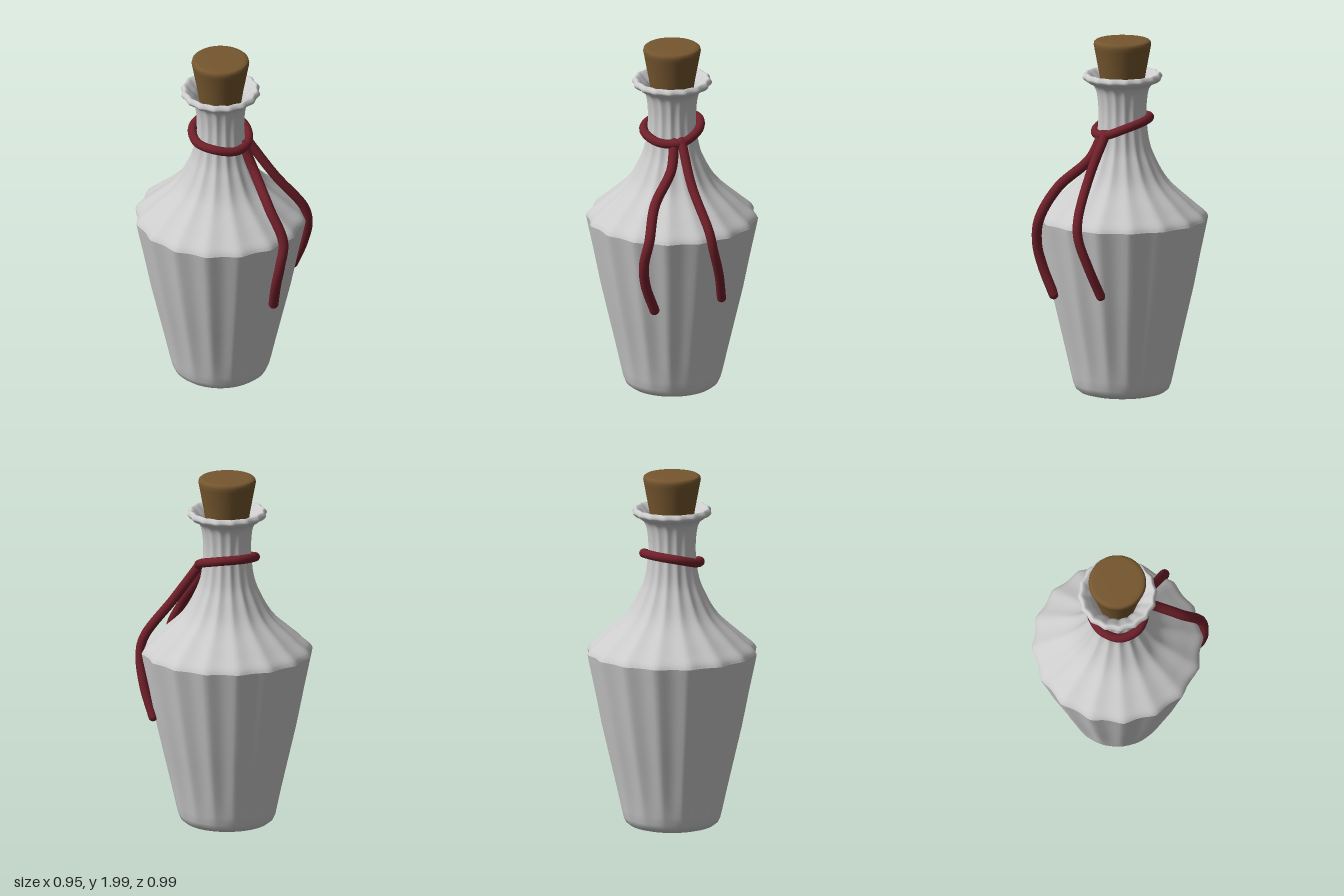
import * as THREE from 'three';
import { mergeVertices } from 'three/addons/utils/BufferGeometryUtils.js';

const AXIS_Z = -0.02; // the bottle's own axis

// Smooth lathe whose 16 ridges are cut by a radius rule; depth depends on height
function flutedLathe(points, depthAt) {
  let geo = new THREE.LatheGeometry(points.map(([r, y]) => new THREE.Vector2(r, y)), 128);
  const p = geo.attributes.position;
  for (let i = 0; i < p.count; i++) {
    const x = p.getX(i), z = p.getZ(i);
    const s = Math.abs(Math.sin(8 * Math.atan2(x, z)));
    const k = 1 - depthAt(p.getY(i)) * Math.pow(s, 1.3);
    p.setX(i, x * k);
    p.setZ(i, z * k);
  }
  geo.deleteAttribute('uv');
  geo.deleteAttribute('normal');
  geo = mergeVertices(geo, 1e-5);
  geo.computeVertexNormals();
  return geo;
}

// Samples a smooth curve through a few [radius, height] points
function smoothProfile(pts, n) {
  const curve = new THREE.SplineCurve(pts.map(([r, y]) => new THREE.Vector2(r, y)));
  return curve.getPoints(n).map(v => [v.x, v.y]);
}

// Round cord with domed ends
function cord(name, pts, radius, material, closed = false) {
  const group = new THREE.Group();
  group.name = name;
  const curve = new THREE.CatmullRomCurve3(pts.map(a => new THREE.Vector3(...a)), closed);
  const tube = new THREE.Mesh(new THREE.TubeGeometry(curve, 64, radius, 14, closed), material);
  tube.name = name + 'Tube';
  group.add(tube);
  if (!closed) {
    for (const t of [0, 1]) {
      const end = new THREE.Mesh(new THREE.SphereGeometry(radius, 14, 10), material);
      end.position.copy(curve.getPoint(t));
      end.name = name + 'End';
      group.add(end);
    }
  }
  return group;
}

export function createModel() {
  const model = new THREE.Group();
  model.name = 'corkedBottle';
  const glass = new THREE.MeshStandardMaterial({ color: 0xcccccc, side: THREE.DoubleSide });
  const corkMat = new THREE.MeshStandardMaterial({ color: 0x76572f });
  const cordMat = new THREE.MeshStandardMaterial({ color: 0x70202a });

  const add = (name, geo, mat) => {
    const mesh = new THREE.Mesh(geo, mat);
    mesh.name = name;
    mesh.position.z = AXIS_Z;
    model.add(mesh);
  };

  // Tapered body with a rounded foot; ridges fade out towards the base
  const body = [[0, 0.01], [0.12, 0.01], [0.2, 0.015], [0.235, 0.025], [0.257, 0.042], [0.27, 0.07],
    [0.283, 0.12], [0.31, 0.24], [0.352, 0.42], [0.394, 0.6], [0.434, 0.8], [0.466, 0.95], [0.476, 1.0]];
  add('body', flutedLathe(body, y => 0.04 * THREE.MathUtils.smoothstep(y, 0.01, 0.25)), glass);

  // Shoulder sweeping up into the neck, rolled lip and inner throat
  const upper = [
    ...smoothProfile([[0.476, 1.0], [0.455, 1.03], [0.385, 1.09], [0.255, 1.21], [0.18, 1.34],
      [0.147, 1.44], [0.133, 1.58], [0.142, 1.7], [0.165, 1.75], [0.2, 1.768], [0.221, 1.79],
      [0.21, 1.812], [0.195, 1.812], [0.17, 1.79], [0.14, 1.755], [0.118, 1.7], [0.108, 1.6], [0.108, 1.5]], 90),
  ];
  add('shoulderAndNeck', flutedLathe(upper, y => 0.04 + 0.02 * THREE.MathUtils.smoothstep(y, 1.1, 1.4)
    * (1 - THREE.MathUtils.smoothstep(y, 1.6, 1.75))), glass);

  // Tapered cork with softened edges
  const cork = [[0, 1.62], [0.09, 1.62], [0.1, 1.63], [0.128, 1.81], [0.155, 1.955], [0.159, 1.975],
    [0.156, 1.99], [0.148, 1.997], [0.13, 2.0], [0, 2.0]];
  add('cork', flutedLathe(cork, () => 0), corkMat);

  // Tilted loop around the neck
  const loopHeights = [1.48, 1.485, 1.53, 1.56, 1.565, 1.55, 1.52, 1.505];
  const loop = loopHeights.map((y, i) => {
    const a = i * Math.PI / 4;
    return [0.16 * Math.sin(a), y, AXIS_Z + 0.15 * Math.cos(a)];
  });
  model.add(cord('neckCord', loop, 0.025, cordMat, true));

  // Two hanging cord ends
  model.add(cord('frontCordEnd', [[0.07, 1.48, 0.1], [0.088, 1.35, 0.17], [0.07, 1.19, 0.345],
    [0.088, 1.02, 0.45], [0.06, 0.88, 0.46], [0.055, 0.75, 0.43], [0.08, 0.59, 0.37]], 0.028, cordMat));
  model.add(cord('sideCordEnd', [[0.11, 1.49, 0.085], [0.22, 1.28, 0.185], [0.365, 1.06, 0.265],
    [0.39, 0.96, 0.265], [0.398, 0.8, 0.21], [0.38, 0.635, 0.14]], 0.026, cordMat));

  return model;
}
